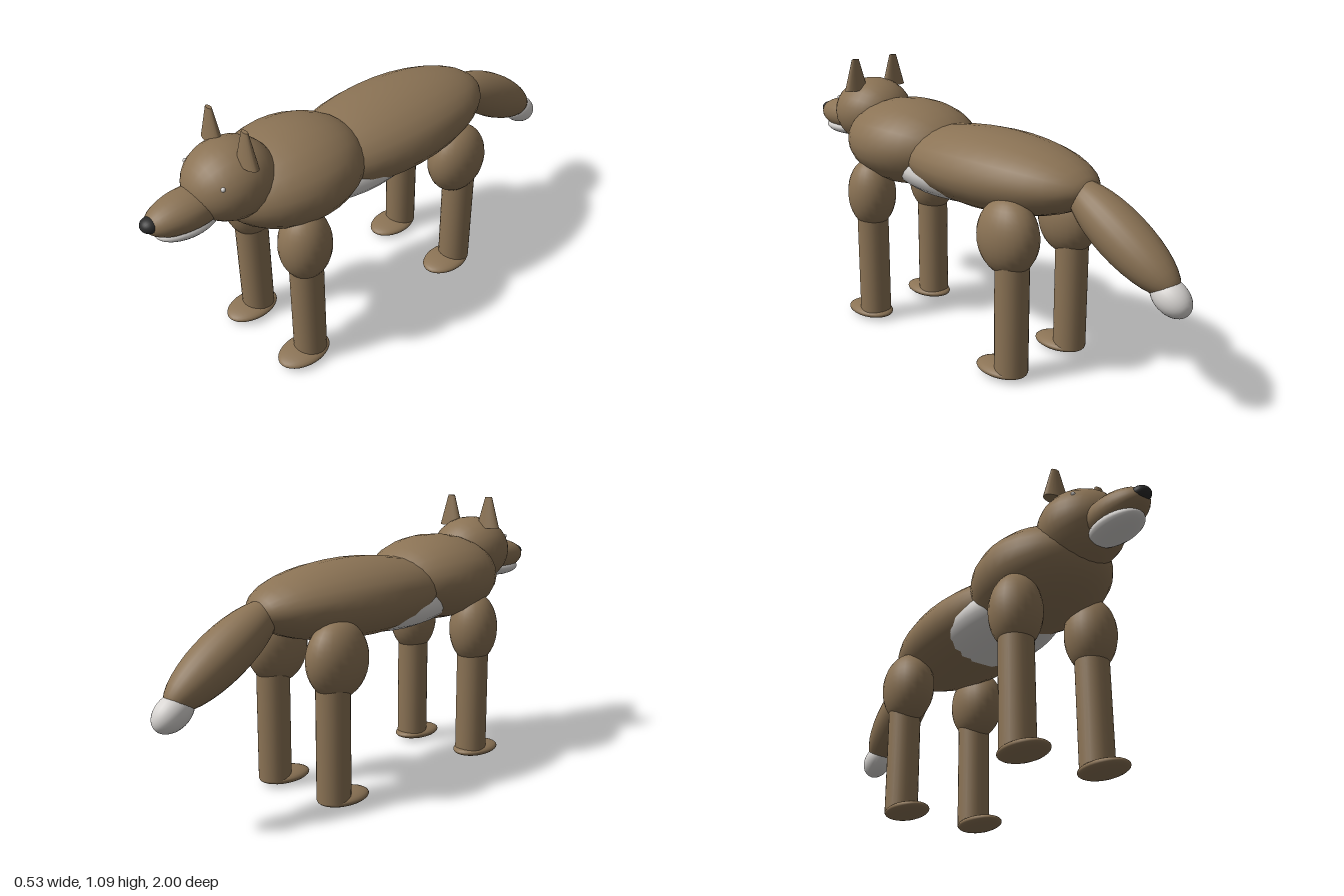
import * as THREE from 'three';

const material = (name, color) => {
  const m = new THREE.MeshStandardMaterial({ color });
  m.name = name;
  return m;
};

export function createModel() {
  const model = new THREE.Group();
  model.name = 'fourLeggedAnimal';
  const fur = material('brownFur', 0x8b7355);
  const pale = material('paleFur', 0xd8d5d2);
  const dark = material('darkNose', 0x2b2b2b);

  const add = (name, geometry, mat, pos) => {
    const mesh = new THREE.Mesh(geometry, mat);
    mesh.name = name;
    mesh.position.set(...pos);
    model.add(mesh);
    return mesh;
  };
  // Ellipsoid with its poles along z, given by centre and radii
  const ellipsoid = (name, mat, pos, [rx, ry, rz]) =>
    add(name, new THREE.SphereGeometry(1, 24, 18).rotateX(Math.PI / 2).scale(rx, ry, rz), mat, pos);

  // Torso
  ellipsoid('body', fur, [0, 0.742, -0.09], [0.235, 0.153, 0.485]);
  ellipsoid('chest', fur, [0, 0.77, 0.39], [0.25, 0.175, 0.3]);
  ellipsoid('belly', pale, [0, 0.695, 0.1], [0.2, 0.11, 0.36]);

  // Head
  ellipsoid('head', fur, [0, 0.858, 0.645], [0.16, 0.143, 0.17]);
  ellipsoid('muzzle', fur, [0, 0.817, 0.82], [0.087, 0.07, 0.165]);
  ellipsoid('jaw', pale, [0, 0.765, 0.83], [0.077, 0.036, 0.122]);
  ellipsoid('nose', dark, [0, 0.826, 0.965], [0.036, 0.027, 0.035]);

  // Tail, sloping down to a pale tip
  const slope = -0.56;
  ellipsoid('tail', fur, [0, 0.615, -0.71], [0.098, 0.095, 0.28]).rotation.x = slope;
  ellipsoid('tailTip', pale, [0, 0.453, -0.923], [0.06, 0.06, 0.085]).rotation.x = slope;

  for (const [side, s] of [['left', 1], ['right', -1]]) {
    // Ears: flattened, blunt cones
    add(side + 'Ear', new THREE.CylinderGeometry(0.017, 0.056, 0.13, 20).scale(1, 1, 0.46),
      fur, [s * 0.101, 1.025, 0.633]);
    ellipsoid(side + 'Eye', pale, [s * 0.111, 0.917, 0.743], [0.008, 0.008, 0.008]);

    // Legs: [end, thigh z, thigh depth, shin z, foot z]
    for (const [end, tz, depth, sz, fz] of [
      ['Front', 0.463, 0.103, 0.463, 0.496],
      ['Back', -0.325, 0.132, -0.348, -0.3],
    ]) {
      const x = s * 0.168;
      const thigh = new THREE.SphereGeometry(1, 24, 18).scale(0.098, 0.148, depth);
      add(side + end + 'Thigh', thigh, fur, [x, 0.56, tz]);
      add(side + end + 'Shin', new THREE.CylinderGeometry(0.065, 0.065, 0.45, 24), fur, [x, 0.255, sz]);
      ellipsoid(side + end + 'Foot', fur, [x, 0.029, fz], [0.078, 0.026, 0.113]);
    }
  }
  return model;
}
